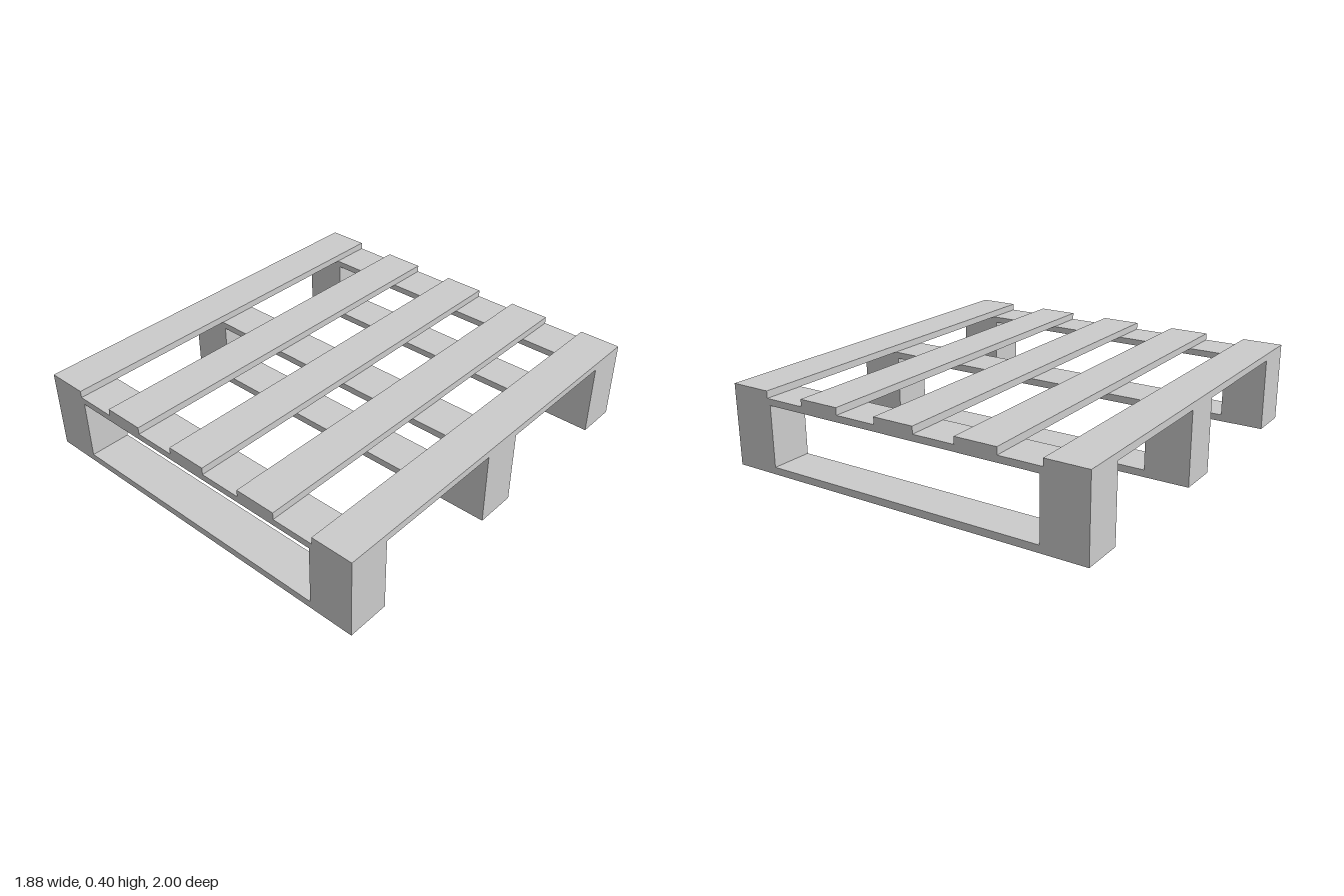
import * as THREE from 'three';

const HALF_W = 0.94;      // half width across x
const BOARD = 0.208;      // width of slats and runner frames
const FRAME_H = 0.367;    // underside of the slats
const HEIGHT = 0.402;

// Rectangle traced as a shape or a hole
function rect(path, x0, y0, x1, y1) {
  path.moveTo(x0, y0);
  path.lineTo(x1, y0);
  path.lineTo(x1, y1);
  path.lineTo(x0, y1);
  path.closePath();
  return path;
}

export function createModel() {
  const model = new THREE.Group();
  model.name = 'pallet';
  const material = new THREE.MeshStandardMaterial({ color: 0xcccccc, flatShading: true });

  // Runner frames: bottom board, two end blocks and top board around an opening
  const outline = rect(new THREE.Shape(), -HALF_W, 0, HALF_W, FRAME_H);
  outline.holes.push(rect(new THREE.Path(), -0.717, 0.035, 0.717, 0.335));
  const frameGeometry = new THREE.ExtrudeGeometry(outline, { depth: BOARD, bevelEnabled: false });
  frameGeometry.translate(0, 0, -BOARD / 2);
  ['backRunner', 'middleRunner', 'frontRunner'].forEach((name, i) => {
    const runner = new THREE.Mesh(frameGeometry, material);
    runner.name = name;
    runner.position.z = (i - 1) * (1 - BOARD / 2);
    model.add(runner);
  });

  // Five evenly spaced deck slats running front to back
  const slatGeometry = new THREE.BoxGeometry(BOARD, HEIGHT - FRAME_H, 2);
  for (let i = 0; i < 5; i++) {
    const slat = new THREE.Mesh(slatGeometry, material);
    slat.name = `deckSlat${i + 1}`;
    slat.position.set((i - 2) * (HALF_W - BOARD / 2) / 2, (HEIGHT + FRAME_H) / 2, 0);
    model.add(slat);
  }

  return model;
}
